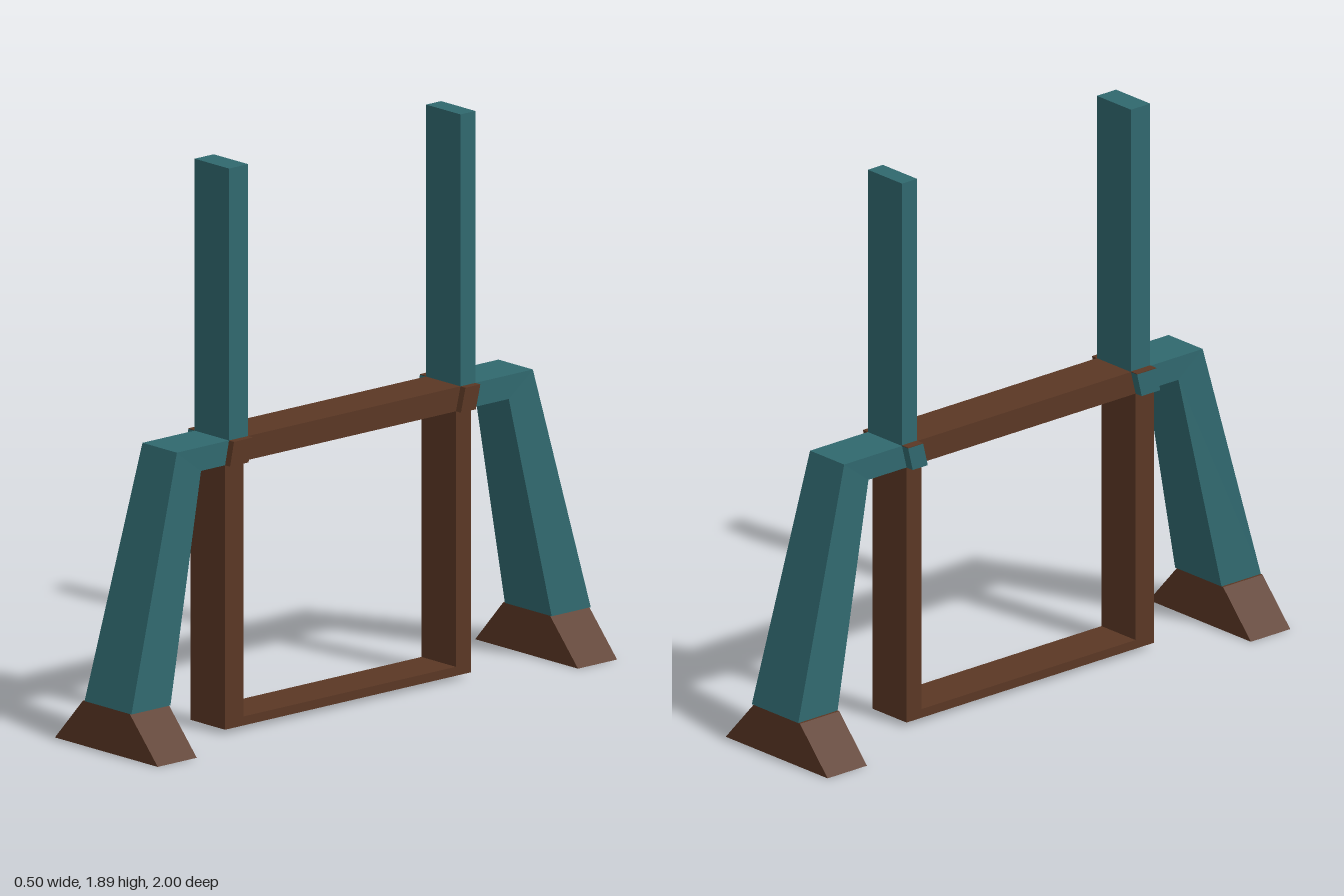
import * as THREE from 'three';

const teal = new THREE.MeshStandardMaterial({ color: 0x30686e });
teal.name = 'teal paint';
const brown = new THREE.MeshStandardMaterial({ color: 0x5a3724 });
brown.name = 'brown wood';

const CX = 0.008; // middle of the frame in x
const HALF = 0.083; // half width of the timbers

// Extrudes a [z, y] outline across x; the width may change with height.
function slab(name, points, material, halfAt = () => HALF, centre = CX) {
  const shape = new THREE.Shape(points.map(([z, y]) => new THREE.Vector2(z, y)));
  const geo = new THREE.ExtrudeGeometry(shape, { depth: 2, bevelEnabled: false });
  geo.translate(0, 0, -1);
  geo.rotateY(-Math.PI / 2);
  const p = geo.attributes.position;
  for (let i = 0; i < p.count; i++) p.setX(i, centre + p.getX(i) * halfAt(p.getY(i)));
  geo.computeVertexNormals();
  const mesh = new THREE.Mesh(geo, material);
  mesh.name = name;
  return mesh;
}

const rect = (z0, z1, y0, y1) => [[z0, y0], [z1, y0], [z1, y1], [z0, y1]];

export function createModel() {
  const model = new THREE.Group();
  model.name = 'timberStand';

  // Each end: s is the side in z, in/out are the inner and outer post faces
  const ends = [
    { name: 'front', s: 1, topIn: 0.465, topOut: 0.548, lowIn: 0.485, lowOut: 0.565 },
    { name: 'back', s: -1, topIn: 0.46, topOut: 0.525, lowIn: 0.44, lowOut: 0.505 },
  ];
  for (const { name, s, topIn, topOut, lowIn, lowOut } of ends) {
    const end = new THREE.Group();
    end.name = name + 'End';
    const side = (pts) => pts.map(([z, y]) => [z * s, y]);
    const joint = side([[lowIn, 0.9], [lowOut, 0.9], [topOut, 0.98], [topIn, 0.98]]);

    end.add(slab('upperPost', side(rect(topIn, topOut, 0.98, 1.89)), teal));
    end.add(slab('lowerPost', side(rect(lowIn, lowOut, 0.015, 0.9)), brown));
    end.add(slab('joint', joint, brown));

    // Pegs sticking out on both sides of the joint
    end.add(slab('leftPeg', joint, brown, () => 0.012, 0.103));
    end.add(slab('rightPeg', joint, teal, () => 0.015, -0.09));
    end.add(slab('rightPegTop', side(rect(topIn, topOut, 0.98, 0.982)), brown, () => 0.015, -0.09));

    // Arm, splayed leg and foot
    end.add(slab('arm', side([[lowOut, 0.9], [0.67, 0.9], [0.775, 0.98], [topOut, 0.98]]), teal));
    end.add(slab('leg', side([[0.67, 0.9], [0.83, 0.15], [1, 0.15], [0.775, 0.98]]), teal,
      (y) => (y < 0.2 ? 0.113 : HALF)));
    end.add(slab('foot', side(rect(0.83, 1, 0, 0.15)), brown,
      (y) => (y < 0.1 ? 0.248 : 0.113), 0));
    end.children[end.children.length - 1].position.x = 0;
    model.add(end);
  }

  // Rails between the two ends
  model.add(slab('topBeam', [[-0.44, 0.9], [0.485, 0.9], [0.465, 0.98], [-0.46, 0.98]], brown));
  model.add(slab('bottomRail', rect(-0.44, 0.485, 0.015, 0.045), brown));
  return model;
}
